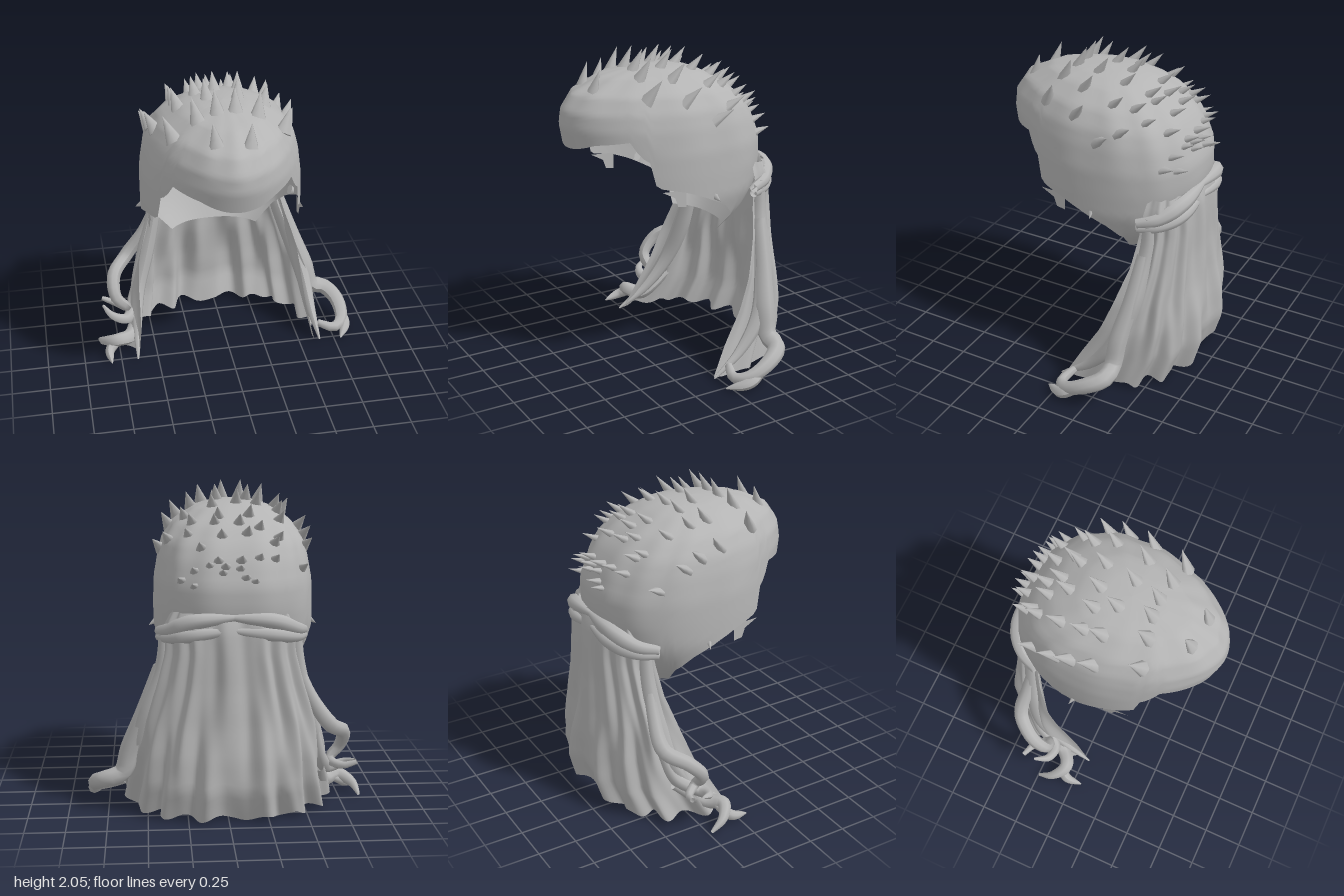
import * as THREE from 'three';

const hair = new THREE.MeshStandardMaterial({ color: 0xb4b4b4, side: THREE.DoubleSide });
hair.name = 'hairGrey';
const CX = -0.06; // the cap sits slightly off centre

// Linear lookup: rows are [key, ...values], keys falling
function lookup(rows, key) {
  if (key >= rows[0][0]) return rows[0].slice(1);
  for (let i = 1; i < rows.length; i++) {
    const a = rows[i - 1], b = rows[i];
    if (key >= b[0]) {
      const f = (key - b[0]) / (a[0] - b[0]);
      return b.slice(1).map((v, k) => v + (a[k + 1] - v) * f);
    }
  }
  return rows[rows.length - 1].slice(1);
}

// Smooth sheet from a point rule over a grid
function sheet(nu, nv, closed, rule) {
  const pos = [], idx = [], cols = closed ? nu : nu + 1;
  for (let j = 0; j <= nv; j++)
    for (let i = 0; i < cols; i++) pos.push(...rule(i / nu, j / nv));
  for (let j = 0; j < nv; j++)
    for (let i = 0; i < nu; i++) {
      const a = j * cols + i, b = j * cols + (i + 1) % cols, c = a + cols, d = b + cols;
      idx.push(a, c, b, b, c, d);
    }
  const g = new THREE.BufferGeometry();
  g.setAttribute('position', new THREE.Float32BufferAttribute(pos, 3));
  g.setIndex(idx);
  g.computeVertexNormals();
  return g;
}

// Cap sections: height, half width, front z, back z
const SECTIONS = [
  [1.935, 0, 0.1, 0.1], [1.925, 0.13, 0.28, -0.08], [1.89, 0.25, 0.46, -0.2], [1.8, 0.38, 0.64, -0.37],
  [1.7, 0.45, 0.71, -0.48], [1.6, 0.48, 0.72, -0.55], [1.45, 0.505, 0.69, -0.61], [1.3, 0.51, 0.69, -0.61],
  [1.15, 0.51, 0.68, -0.57], [1, 0.47, 0.66, -0.47], [0.85, 0.33, 0.6, -0.36],
];
// Torn lower edge of the cap: z, height
const EDGE = [
  [0.69, 1.47], [0.6, 1.52], [0.42, 1.55], [0.4, 1.46], [0.34, 1.42], [0.31, 1.26], [0.13, 1.22],
  [0, 1.17], [-0.2, 1.08], [-0.35, 0.98], [-0.38, 0.86], [-0.7, 0.85],
];

function capPoint(angle, y) {
  const [w, zf, zb] = lookup(SECTIONS, y);
  const c = 0.1 * Math.max(0, (y - 1.7) / 0.235);
  const s = Math.sin(angle), k = Math.cos(angle);
  if (k >= 0) return [CX + w * s * (1 - 0.13 * k * k), y, c + (zf - c) * k];
  return [CX + w * Math.sign(s) * Math.abs(s) ** 0.8, y, c - (c - zb) * Math.abs(k) ** 0.85];
}

function capGeometry() {
  return sheet(120, 30, true, (u, v) => {
    const a = u * Math.PI * 2;
    const edge = lookup(EDGE, capPoint(a, 1.3)[2])[0];
    const y = 1.935 - (1.935 - edge) * v ** 1.8;
    const p = capPoint(a, y);
    // Combed ripples over the upper cap
    const r = 1 + 0.014 * Math.sin(a * 13 + v * 4) * Math.sin(Math.PI * Math.min(1, v * 1.3));
    return [CX + (p[0] - CX) * r, y, p[2] * r];
  });
}

// Height of the cap above a plan position, or null outside it
function capHeight(x, z) {
  const inside = (y) => {
    const [w, zf, zb] = lookup(SECTIONS, y);
    const c = 0.1 * Math.max(0, (y - 1.7) / 0.235);
    const dz = z > c ? (z - c) / (zf - c) : (c - z) / (c - zb);
    return (Math.abs(x - CX) / w) ** 2.2 + dz ** 2.2 < 1;
  };
  if (!inside(1.38)) return null;
  let lo = 1.38, hi = 1.934;
  for (let i = 0; i < 20; i++) {
    const m = (lo + hi) / 2;
    if (inside(m)) lo = m; else hi = m;
  }
  return lo;
}

// Tapered lock of hair along a path; flat < 1 makes it ribbon-like
function lock(points, radius, tip = 0.1, root = 0.6) {
  const path = new THREE.CatmullRomCurve3(points.map((p) => new THREE.Vector3(...p)));
  const n = 32, m = 8, g = new THREE.TubeGeometry(path, n, radius, m, false);
  const P = g.attributes.position, v = new THREE.Vector3();
  for (let i = 0; i <= n; i++) {
    const t = i / n, c = path.getPointAt(t);
    const s = t < 0.4 ? root + (1 - root) * t / 0.4 : 1 - (1 - tip) * ((t - 0.4) / 0.6) ** 2;
    for (let j = 0; j <= m; j++) {
      const k = i * (m + 1) + j;
      v.fromBufferAttribute(P, k).sub(c).multiplyScalar(s).add(c);
      P.setXYZ(k, v.x, Math.max(0, v.y), v.z);
    }
  }
  g.computeVertexNormals();
  return g;
}

// Mane sections: height, half width, back z, front z
const MANE = [
  [1.3, 0.36, -0.6, -0.42], [1.2, 0.41, -0.63, -0.41], [1.05, 0.41, -0.635, -0.39], [0.85, 0.46, -0.635, -0.36],
  [0.6, 0.54, -0.65, -0.28], [0.4, 0.58, -0.68, -0.2], [0.2, 0.61, -0.69, -0.08], [0, 0.65, -0.63, 0.03],
];

function maneGeometry() {
  return sheet(132, 28, false, (u, v) => {
    const q = u * 2 - 1, hem = 0.018 * (1 + Math.sin(q * 31));
    const y = 1.3 - v * (1.3 - hem);
    const [w, zb, zf] = lookup(MANE, y);
    const a = q * Math.PI / 2, s = Math.sin(a), k = Math.cos(a);
    // Folds deepen toward the hem and drift sideways
    const fold = (0.008 + 0.026 * v) * (Math.sin(q * 25 + 1.2 * Math.sin(v * 5)) + 0.35 * Math.sin(q * 43 + v * 3));
    return [
      -0.02 + w * Math.sign(s) * Math.abs(s) ** 0.8 + fold * s,
      y,
      zf + (zb - zf) * Math.abs(k) ** 0.75 - fold * k,
    ];
  });
}

export function createModel() {
  const model = new THREE.Group();
  const add = (name, geometry, parent = model) => {
    const mesh = new THREE.Mesh(geometry, hair);
    mesh.name = name;
    parent.add(mesh);
    return mesh;
  };
  add('hairCap', capGeometry());
  add('mane', maneGeometry());

  // Swept-back tufts: row z, number, half spread, size
  const tufts = new THREE.Group();
  tufts.name = 'tufts';
  model.add(tufts);
  const up = new THREE.Vector3(0, 1, 0);
  const tuft = (p, dir, length, radius) => {
    const g = new THREE.ConeGeometry(radius, length, 7, 3);
    g.scale(1, 1, 0.65).translate(0, length * 0.3, 0);
    const mesh = add('tuft', g, tufts);
    mesh.position.copy(p);
    mesh.quaternion.setFromUnitVectors(up, dir.normalize());
  };
  const rows = [
    [0.52, 2, 0.11, 0.15], [0.28, 6, 0.34, 0.17], [0.06, 6, 0.41, 0.16], [-0.1, 7, 0.44, 0.15],
    [-0.24, 6, 0.42, 0.15], [-0.35, 7, 0.41, 0.14], [-0.44, 6, 0.35, 0.14], [-0.51, 7, 0.36, 0.13],
    [-0.56, 6, 0.28, 0.12], [-0.59, 5, 0.22, 0.11],
  ];
  rows.forEach(([z, count, spread, size], r) => {
    for (let i = 0; i < count; i++) {
      const x = CX + spread * (2 * i / (count - 1) - 1) + 0.02 * Math.sin(i * 5 + r * 3);
      const zz = z + 0.03 * Math.sin(i * 7.3 + r * 2);
      const y = capHeight(x, zz);
      if (y === null) continue;
      const p = new THREE.Vector3(x, y, zz);
      const out = new THREE.Vector3(x - CX, y - 1.35, zz).normalize();
      tuft(p, out.multiplyScalar(0.55).add(new THREE.Vector3(0, 0.25, -0.6)), size, size * 0.33);
    }
  });

  // Loose wisps at the temples
  for (const s of [-1, 1]) {
    tuft(new THREE.Vector3(CX + s * 0.49, 1.17, -0.07), new THREE.Vector3(s, -0.6, -0.4), 0.08, 0.035);
    const shape = new THREE.Shape([[0.29, 1.24], [0.12, 1.23], [0.12, 1.12], [0.18, 1.13], [0.2, 1.19]]
      .map(([a, b]) => new THREE.Vector2(a, b)));
    const wisp = add('templeWisp', new THREE.ShapeGeometry(shape));
    wisp.rotation.y = -Math.PI / 2;
    wisp.position.x = CX + s * 0.48;
  }

  // Locks wrapped around the nape where the mane is gathered
  for (const s of [-1, 1])
    for (const [y, drop, r] of [[1.25, 0.06, 0.05], [1.17, 0.03, 0.045]])
      add('napeWrap', lock([[s * 0.45 - 0.03, y - drop * 1.5, -0.38], [s * 0.39 - 0.03, y - drop, -0.5],
        [s * 0.25 - 0.03, y, -0.59], [-s * 0.02 - 0.03, y + 0.03, -0.61]], r, 0.3));

  // Long locks framing the sides of the mane
  for (const s of [-1, 1])
    add('sideLock', lock([[s * 0.4 - 0.02, 1.2, -0.45], [s * 0.42 - 0.02, 0.95, -0.44], [s * 0.52, 0.6, -0.4],
      [s * 0.59, 0.35, -0.32], [s * 0.62, 0.15, -0.16], [s * 0.64, 0.02, 0.04]], 0.06, 0.1));

  // Curled ends
  const curls = [
    ['leftCurl', 0.062, 0.4, [[0.42, 0.95, -0.43], [0.52, 0.65, -0.4], [0.61, 0.4, -0.36], [0.66, 0.24, -0.35],
      [0.76, 0.2, -0.35], [0.83, 0.15, -0.25], [0.83, 0.08, -0.1], [0.76, 0.06, -0.03], [0.65, 0.09, -0.06]]],
    ['leftCurlTip', 0.04, 0.1, [[0.83, 0.12, -0.22], [0.85, 0.05, -0.08], [0.79, 0.02, 0.05]]],
    ['rightUpperCurl', 0.05, 0.3, [[-0.42, 1, -0.43], [-0.52, 0.75, -0.45], [-0.65, 0.56, -0.45], [-0.75, 0.48, -0.33],
      [-0.75, 0.36, -0.23], [-0.68, 0.27, -0.24], [-0.75, 0.25, -0.33], [-0.84, 0.28, -0.36]]],
    ['rightMiddleCurl', 0.045, 0.2, [[-0.56, 0.5, -0.42], [-0.61, 0.3, -0.34], [-0.68, 0.2, -0.2],
      [-0.78, 0.23, -0.2], [-0.84, 0.27, -0.28]]],
    ['rightLowerCurl', 0.05, 0.2, [[-0.6, 0.25, -0.35], [-0.66, 0.1, -0.15], [-0.76, 0.11, -0.08],
      [-0.85, 0.07, -0.14], [-0.88, 0.02, -0.24]]],
    ['rightCurlTip', 0.035, 0.1, [[-0.72, 0.1, -0.12], [-0.82, 0.05, -0.06], [-0.82, 0.02, 0.06]]],
  ];
  for (const [name, radius, tip, points] of curls) add(name, lock(points, radius, tip));
  return model;
}
